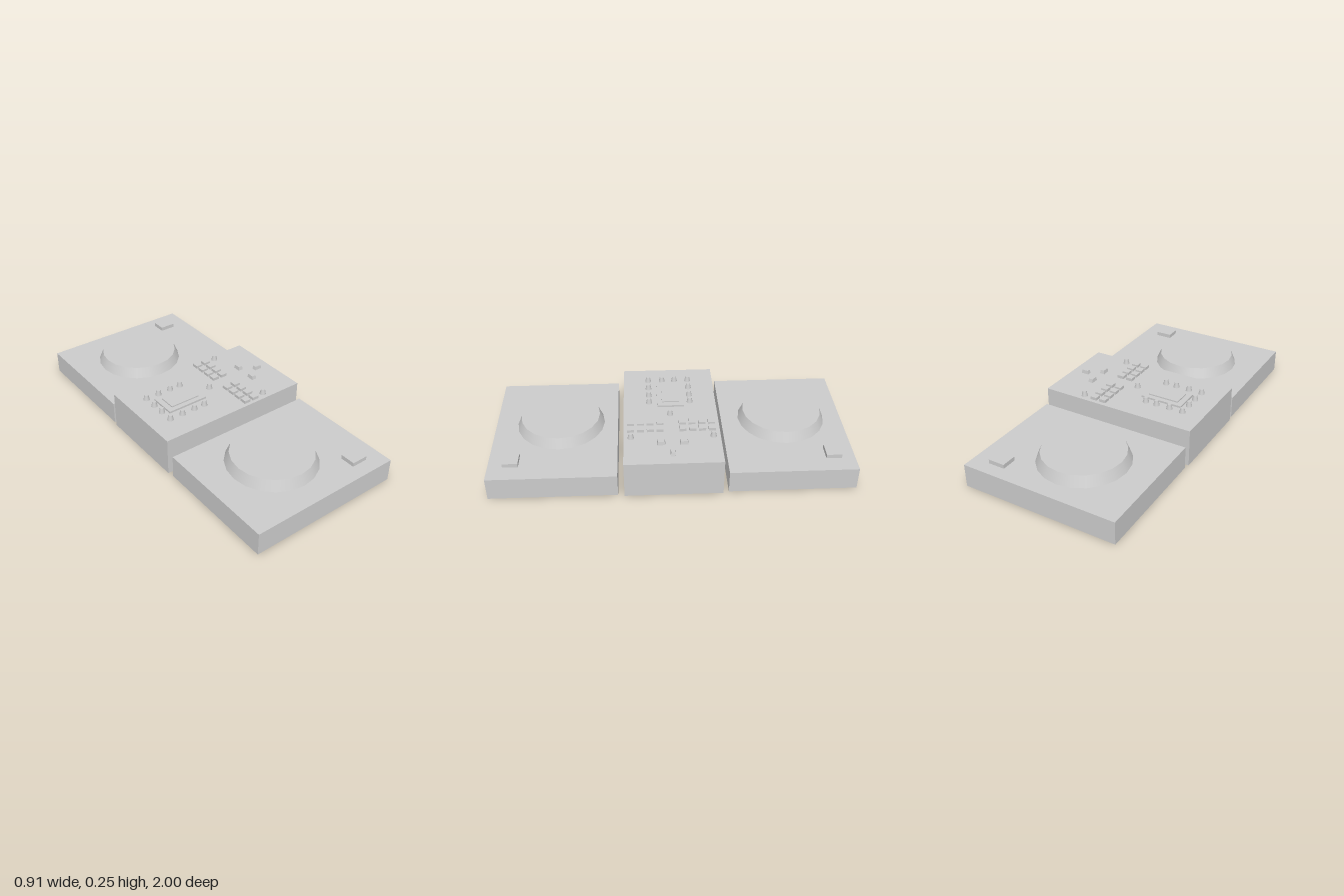
import * as THREE from 'three';

const material = new THREE.MeshStandardMaterial({ color: 0xcccccc, flatShading: true });
const smooth = new THREE.MeshStandardMaterial({ color: 0xcccccc });

const DECK_TOP = 0.13;
const MIXER_TOP = 0.215;

function add(parent, name, geometry, x, y, z, mat = material) {
  const mesh = new THREE.Mesh(geometry, mat);
  mesh.name = name;
  mesh.position.set(x, y, z);
  parent.add(mesh);
  return mesh;
}

// Box standing on y = 0, its top face shrunk by the taper factor
function block(w, h, d, taper = 1) {
  const geometry = new THREE.BoxGeometry(w, h, d).translate(0, h / 2, 0);
  const p = geometry.attributes.position;
  for (let i = 0; i < p.count; i++) {
    if (p.getY(i) > h / 2) {
      p.setX(i, p.getX(i) * taper);
      p.setZ(i, p.getZ(i) * taper);
    }
  }
  geometry.computeVertexNormals();
  return geometry;
}

// Truncated cone standing on y = 0
function cone(rTop, rBottom, h, sides) {
  return new THREE.CylinderGeometry(rTop, rBottom, h, sides).translate(0, h / 2, 0);
}

// Player deck: body, raised platter and one corner button
function createDeck(name, z, platterZ, buttonZ) {
  const deck = new THREE.Group();
  deck.name = name;
  add(deck, 'deckBody', block(0.895, DECK_TOP, 0.7), -0.0025, 0, z);
  add(deck, 'platter', cone(0.225, 0.25, 0.058, 20), -0.05, DECK_TOP, platterZ, smooth);
  add(deck, 'deckButton', block(0.095, 0.023, 0.085), 0.297, DECK_TOP, buttonZ);
  return deck;
}

function createMixer() {
  const mixer = new THREE.Group();
  mixer.name = 'mixer';
  add(mixer, 'mixerBody', block(0.912, MIXER_TOP, 0.535), -0.001, 0, -0.0025);

  // Display: frame with a smaller raised panel
  add(mixer, 'displayFrame', block(0.245, 0.011, 0.155), -0.183, MIXER_TOP, -0.0075);
  add(mixer, 'displayPanel', block(0.18, 0.018, 0.1), -0.183, MIXER_TOP, -0.0075);

  // Rotary knobs around the display and near the pads
  const knobs = [[-0.335, -0.04], [-0.335, 0.035], [0.015, 0], [0.226, -0.23], [0.226, 0.225]];
  for (const x of [-0.335, -0.255, -0.175, -0.108]) knobs.push([x, -0.12], [x, 0.117]);
  const knobGeometry = cone(0.011, 0.018, 0.03, 12);
  for (const [x, z] of knobs) add(mixer, 'knob', knobGeometry, x, MIXER_TOP, z, smooth);

  // Two pad banks of two columns and four rows
  const padGeometry = block(0.04, 0.017, 0.039);
  for (const x of [0.1, 0.157]) {
    for (const bankStart of [-0.228, 0.062]) {
      for (let row = 0; row < 4; row++) {
        add(mixer, 'pad', padGeometry, x, MIXER_TOP, bankStart + row * 0.0545);
      }
    }
  }

  // Tapered fader caps
  for (const z of [-0.065, 0.06]) {
    add(mixer, 'channelFader', block(0.03, 0.021, 0.046, 0.8), 0.282, MIXER_TOP, z);
  }
  add(mixer, 'crossFader', block(0.046, 0.021, 0.026, 0.8), 0.371, MIXER_TOP, 0);
  return mixer;
}

export function createModel() {
  const model = new THREE.Group();
  model.name = 'djSetup';
  model.add(
    createDeck('frontDeck', 0.65, 0.627, 0.877),
    createDeck('backDeck', -0.65, -0.65, -0.883),
    createMixer(),
  );
  return model;
}
